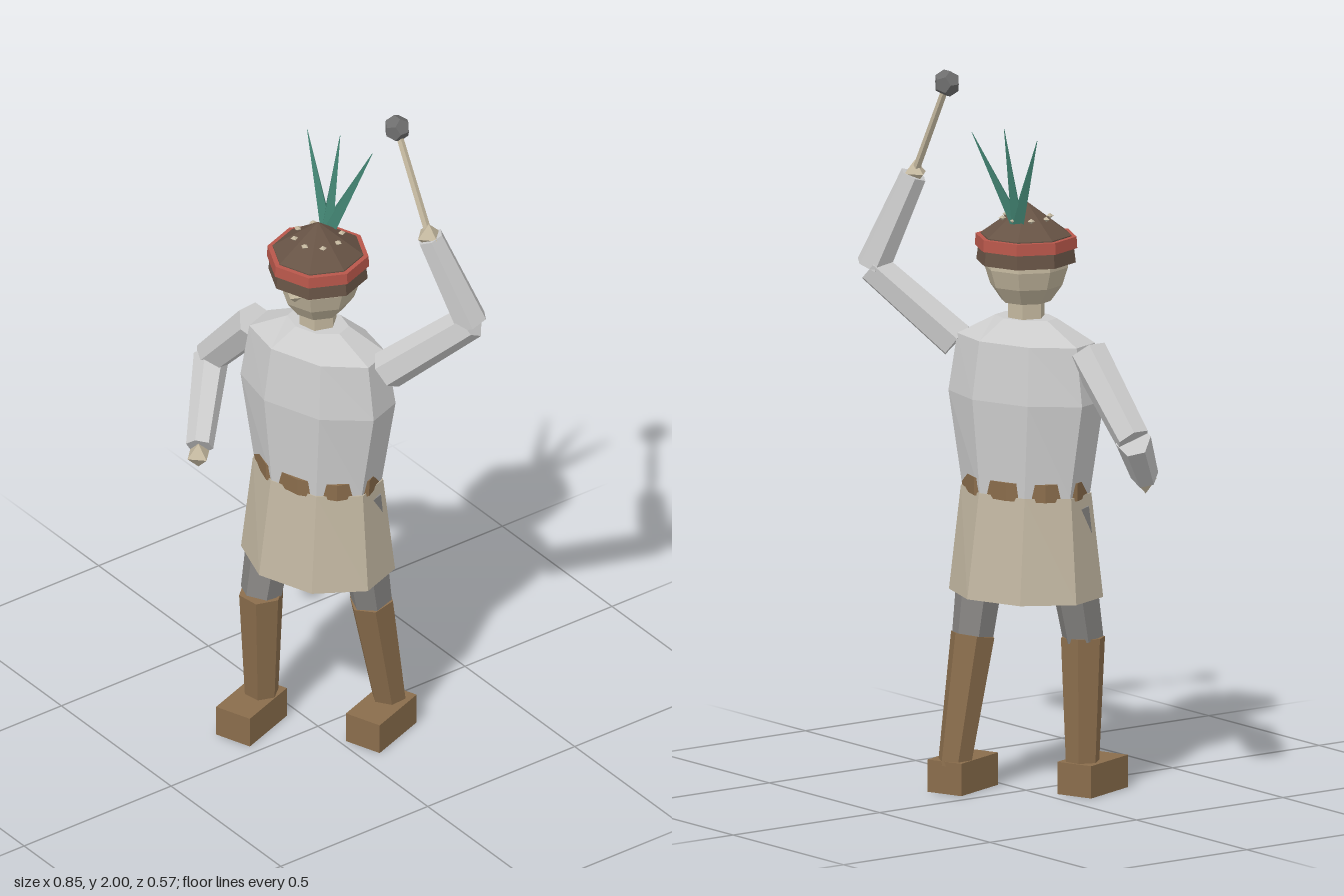
import * as THREE from 'three';

const mat = (name, color) => {
  const m = new THREE.MeshStandardMaterial({ color, flatShading: true });
  m.name = name;
  return m;
};

export function createModel() {
  const shirt = mat('shirt grey', 0xcccccc);
  const trousers = mat('trouser grey', 0x868482);
  const cloth = mat('skirt beige', 0xc0b5a0);
  const skin = mat('skin beige', 0xc4b89f);
  const leather = mat('leather brown', 0x8a6d4c);
  const hatBrown = mat('hat brown', 0x675345);
  const red = mat('band red', 0xb8574b);
  const green = mat('feather green', 0x40806f);
  const stone = mat('stone grey', 0x6e6e6e);

  const model = new THREE.Group();
  // The body is turned a little; limbs are posed in model space.
  const body = new THREE.Group();
  body.name = 'body';
  body.rotation.y = 0.35;
  model.add(body);

  const add = (parent, name, geo, material, pos = [0, 0, 0]) => {
    const mesh = new THREE.Mesh(geo, material);
    mesh.name = name;
    mesh.position.set(...pos);
    parent.add(mesh);
    return mesh;
  };

  // Faceted body of oval rings: [y, half width, half depth], bottom to top, closed at both ends
  const rings = (name, material, profile, sides = 8, turn = Math.PI / 8) => {
    const pts = [profile[0], ...profile, profile.at(-1)].map(([y], i, a) =>
      new THREE.Vector2(i === 0 || i === a.length - 1 ? 0 : 1, y));
    const geo = new THREE.LatheGeometry(pts, sides, turn);
    const p = geo.attributes.position;
    for (let i = 0; i < p.count; i++) {
      const ring = profile[THREE.MathUtils.clamp(i % pts.length - 1, 0, profile.length - 1)];
      p.setX(i, p.getX(i) * ring[1]);
      p.setZ(i, p.getZ(i) * ring[2]);
    }
    geo.computeVertexNormals();
    return add(body, name, geo, material);
  };

  // Tapered prism between two points
  const limb = (name, material, from, to, r0, r1, sides = 6) => {
    const a = new THREE.Vector3(...from), b = new THREE.Vector3(...to);
    const dir = b.clone().sub(a);
    const mesh = add(model, name, new THREE.CylinderGeometry(r1, r0, dir.length(), sides), material);
    mesh.position.copy(a).add(b).multiplyScalar(0.5);
    mesh.quaternion.setFromUnitVectors(new THREE.Vector3(0, 1, 0), dir.normalize());
    return mesh;
  };

  // Torso, belt and skirt
  rings('torso', shirt, [
    [0.84, 0.19, 0.13], [1.1, 0.235, 0.142], [1.26, 0.21, 0.12], [1.32, 0.092, 0.062],
  ]);
  rings('belt', leather, [[0.83, 0.189, 0.131], [0.88, 0.19, 0.131]], 10, 0.1);
  rings('skirt', cloth, [[0.55, 0.224, 0.176], [0.84, 0.194, 0.132]]);

  // Head, neck and nose
  rings('neck', skin, [[1.3, 0.053, 0.053], [1.4, 0.053, 0.053]], 6);
  rings('head', skin, [
    [1.365, 0.068, 0.068], [1.41, 0.1, 0.1], [1.46, 0.116, 0.116], [1.53, 0.112, 0.112],
  ]);
  add(body, 'nose', new THREE.OctahedronGeometry(0.022), skin, [0, 1.465, 0.116]);

  // Hat: fur brim, red band, pointed crown with studs
  rings('hatBrim', hatBrown, [[1.475, 0.138, 0.138], [1.53, 0.131, 0.131]]);
  rings('hatBand', red, [[1.515, 0.142, 0.142], [1.547, 0.14, 0.14]]);
  rings('hatCrown', hatBrown, [[1.54, 0.126, 0.126], [1.55, 0.126, 0.126], [1.64, 0.002, 0.002]]);
  for (let i = 0; i < 8; i++) {
    const t = i * Math.PI / 4;
    const stud = add(body, 'hatStud', new THREE.OctahedronGeometry(0.011), skin,
      [Math.sin(t) * 0.066, 1.597, Math.cos(t) * 0.066]);
    stud.scale.y = 0.7;
    stud.rotation.y = t;
  }

  // Three feathers fanning out from the back of the crown
  for (const tip of [[-0.143, 1.84, -0.07], [-0.04, 1.86, -0.105], [0.06, 1.84, -0.14]]) {
    const f = limb('feather', green, [-0.02, 1.58, -0.045], tip, 0.026, 0.001, 4);
    f.scale.z = 0.75;
  }

  // Legs: hip, knee, ankle, boot centre
  const legs = [
    { side: 'right', hip: [-0.11, 0.8, 0.042], knee: [-0.105, 0.43, 0.115], ankle: [-0.123, 0.07, 0.1], boot: [-0.113, 0.045, 0.142] },
    { side: 'left', hip: [0.11, 0.8, -0.042], knee: [0.105, 0.43, -0.103], ankle: [0.103, 0.07, -0.168], boot: [0.125, 0.045, -0.122] },
  ];
  for (const { side, hip, knee, ankle, boot } of legs) {
    limb(side + 'Thigh', trousers, hip, knee, 0.075, 0.058);
    limb(side + 'Shin', leather, knee, ankle, 0.063, 0.047);
    add(model, side + 'Boot', new THREE.BoxGeometry(0.11, 0.09, 0.184), leather, boot).rotation.y = 0.35;
  }

  // Arms: one on the hip side, one raised
  const arms = [
    { side: 'right', shoulder: [-0.195, 1.24, 0.065], elbow: [-0.39, 1.03, 0.072], wrist: [-0.225, 0.885, 0.235], hand: [-0.213, 0.868, 0.248] },
    { side: 'left', shoulder: [0.2, 1.23, -0.085], elbow: [0.382, 1.425, -0.235], wrist: [0.297, 1.685, -0.16], hand: [0.295, 1.69, -0.157] },
  ];
  for (const { side, shoulder, elbow, wrist, hand } of arms) {
    limb(side + 'UpperArm', shirt, shoulder, elbow, 0.056, 0.049);
    limb(side + 'Forearm', shirt, elbow, wrist, 0.049, 0.038);
    add(model, side + 'Hand', new THREE.OctahedronGeometry(0.037), skin, hand);
  }

  // Rattle held in the raised hand
  limb('clubHandle', skin, [0.295, 1.69, -0.157], [0.15, 1.96, -0.157], 0.011, 0.01, 5);
  add(model, 'clubHead', new THREE.DodecahedronGeometry(0.038), stone, [0.15, 1.964, -0.157]);

  return model;
}
